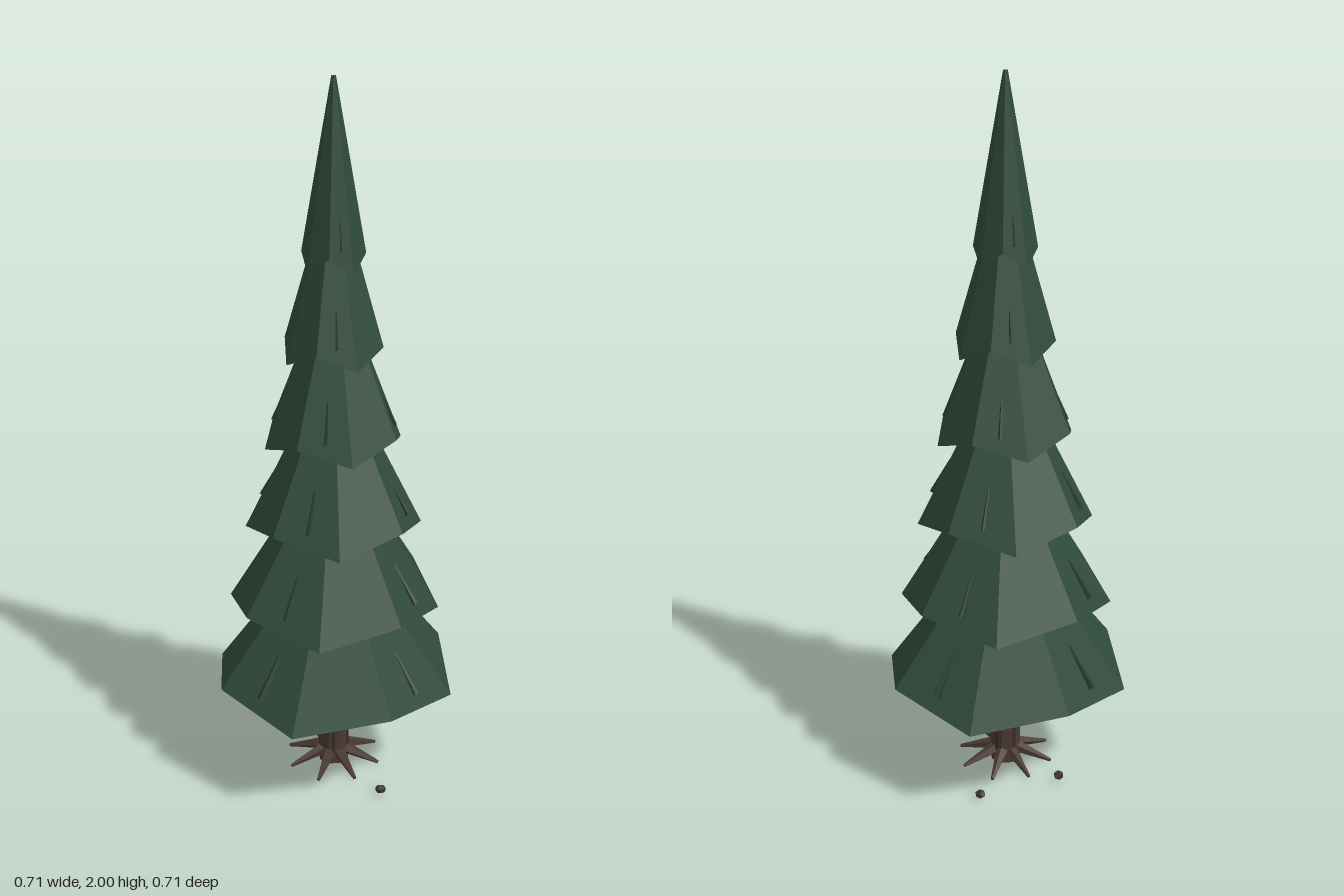
import * as THREE from 'three';

const material = (name, color) => {
  const m = new THREE.MeshStandardMaterial({ color });
  m.name = name;
  return m;
};

// Faceted mesh: split the corners so every face has its own normal
function facetedMesh(name, geometry, mat) {
  const g = geometry.index ? geometry.toNonIndexed() : geometry;
  g.computeVertexNormals();
  const mesh = new THREE.Mesh(g, mat);
  mesh.name = name;
  return mesh;
}

// Tapered stick from point a to point b
function stick(name, a, b, ra, rb, sides, mat) {
  const dir = b.clone().sub(a);
  const mesh = facetedMesh(name, new THREE.CylinderGeometry(rb, ra, dir.length(), sides), mat);
  mesh.position.copy(a).add(b).multiplyScalar(0.5);
  mesh.quaternion.setFromUnitVectors(new THREE.Vector3(0, 1, 0), dir.normalize());
  return mesh;
}

const polar = (angle, r, y) => new THREE.Vector3(Math.sin(angle) * r, y, Math.cos(angle) * r);

export function createModel() {
  const model = new THREE.Group();
  model.name = 'pineTree';
  const needles = material('needle green', 0x2f4a3a);
  const twigs = material('dark twig green', 0x263b2f);
  const bark = material('bark brown', 0x4a3a32);
  const darkBark = material('dark bark brown', 0x3a2d27);
  const stone = material('stone brown', 0x3b332d);

  // Foliage: six stacked cones, each turned a little, with every other corner drooping
  const height = 0.49, droop = 0.045;
  for (let i = 0; i < 6; i++) {
    const tier = new THREE.Group();
    tier.name = `foliageTier${i + 1}`;
    tier.position.y = 0.285 + 0.245 * i;
    tier.rotation.y = (i * Math.PI) / 16;
    const radius = 0.354 - 0.0538 * i;

    const cone = new THREE.CylinderGeometry(0.006, radius, height - droop, 8);
    cone.translate(0, (height + droop) / 2, 0);
    const p = cone.attributes.position;
    for (let v = 0; v < p.count; v++) {
      const x = p.getX(v), z = p.getZ(v);
      const corner = Math.round(Math.atan2(x, z) / (Math.PI / 4));
      if (p.getY(v) < 0.1 && Math.hypot(x, z) > 0.02 && corner % 2 === 0) p.setY(v, 0);
    }
    tier.add(facetedMesh('needleCone', cone, needles));

    // Four twigs lying down the slope
    const slope = (y) => (radius * 0.924 * (height - y)) / (height - droop / 2);
    for (let k = 0; k < 4; k++) {
      const angle = ((67.5 + 90 * k) * Math.PI) / 180;
      tier.add(stick('twig', polar(angle, slope(0.06) + radius * 0.02, 0.06),
        polar(angle, slope(0.165), 0.165), radius * 0.03, radius * 0.012, 5, twigs));
    }
    model.add(tier);
  }

  // Trunk with raised bark strips
  model.add(stick('trunk', new THREE.Vector3(0, 0, 0), new THREE.Vector3(0, 0.7, 0), 0.046, 0.038, 8, bark));
  for (let k = 0; k < 5; k++) {
    const angle = 0.3 + (k * Math.PI * 2) / 5;
    const strip = facetedMesh('barkStrip', new THREE.BoxGeometry(0.01, 0.3, 0.008), darkBark);
    strip.position.copy(polar(angle, 0.041, 0.19));
    strip.rotation.y = angle;
    model.add(strip);
  }

  // Roots spreading to the ground
  for (let k = 0; k < 8; k++) {
    const angle = (k * Math.PI) / 4;
    model.add(stick('root', polar(angle, 0.02, 0.042), polar(angle, 0.14, 0.006), 0.02, 0.005, 5, bark));
  }

  // Pebbles around the base
  for (const [x, z, turn] of [[0.19, 0.14, 0.4], [-0.185, -0.085, 1.5], [0.008, -0.235, 2.6]]) {
    const pebble = facetedMesh('pebble', new THREE.DodecahedronGeometry(0.016), stone);
    pebble.scale.set(1, 0.75, 0.9);
    pebble.position.set(x, 0.018, z);
    pebble.rotation.y = turn;
    model.add(pebble);
  }
  return model;
}
